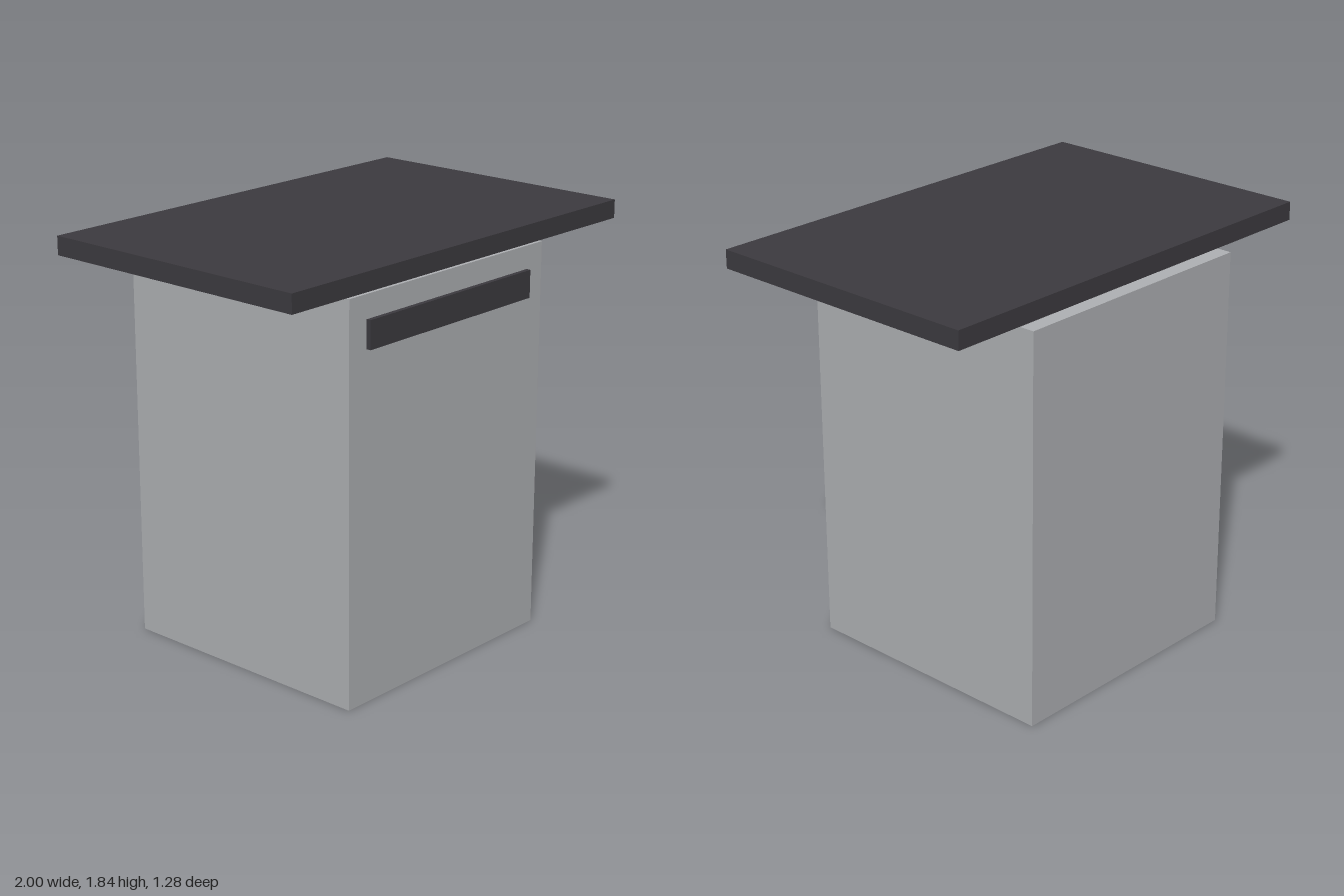
import * as THREE from 'three';

export function createModel() {
  const group = new THREE.Group();
  const lightGrey = new THREE.MeshStandardMaterial({ color: 0xb0b2b5 });
  lightGrey.name = 'lightGrey';
  const charcoal = new THREE.MeshStandardMaterial({ color: 0x3d3b40 });
  charcoal.name = 'charcoal';

  // Box given by its size, its bottom height and its back z
  function box(name, material, width, height, depth, bottom, back) {
    const mesh = new THREE.Mesh(new THREE.BoxGeometry(width, height, depth), material);
    mesh.name = name;
    mesh.position.set(0, bottom + height / 2, back + depth / 2);
    group.add(mesh);
  }

  // Cabinet body
  box('body', lightGrey, 1.2, 1.72, 1.2, 0, -0.64);
  // Slab hovering just above the body, flush with its back
  box('topSlab', charcoal, 2, 0.08, 1.28, 1.76, -0.64);
  // Raised bar across the front
  box('frontBar', charcoal, 1, 0.12, 0.02, 1.5, 0.56);

  return group;
}
